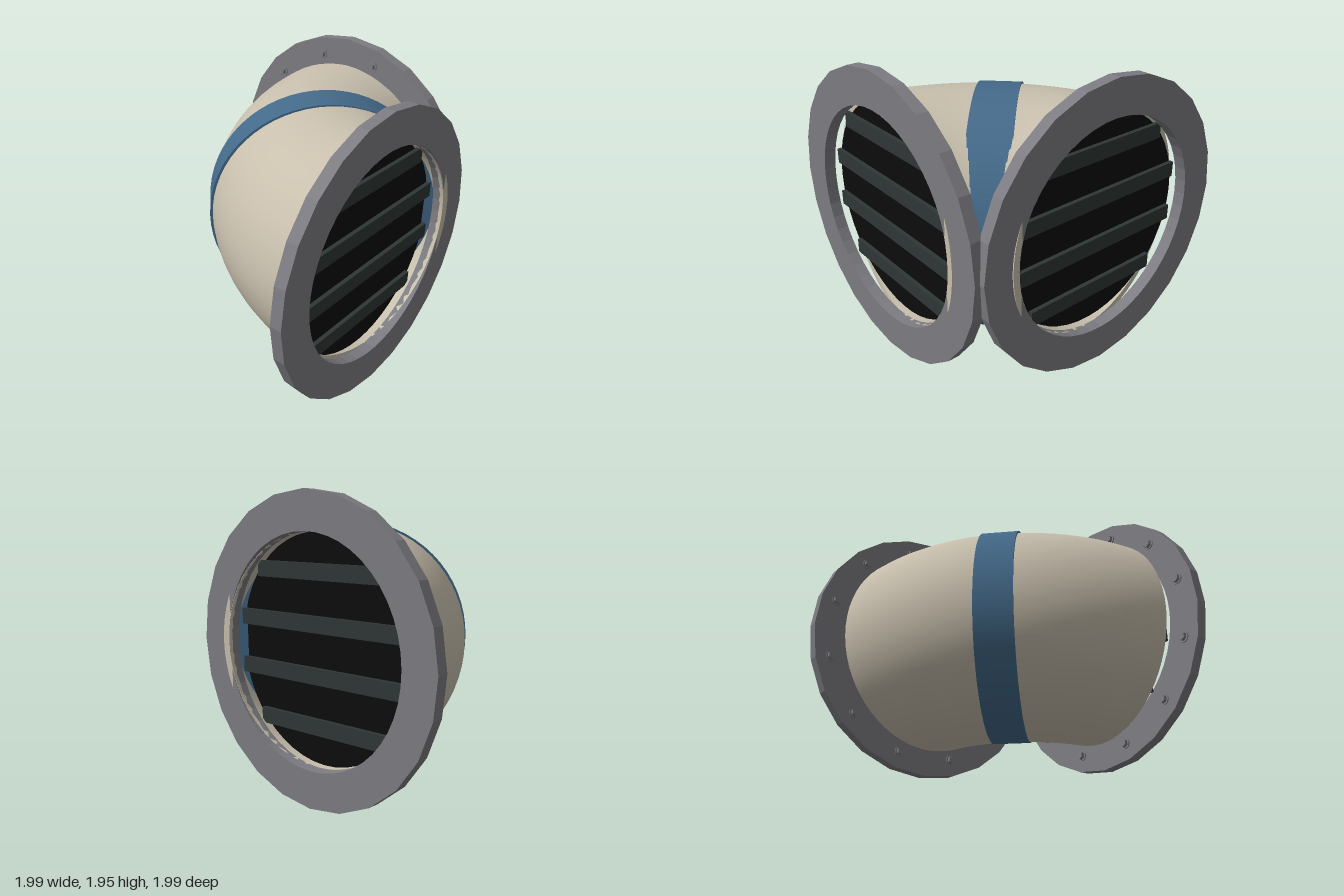
import * as THREE from 'three';

const mat = (name, color, side = THREE.FrontSide) => {
  const m = new THREE.MeshStandardMaterial({ color, side });
  m.name = name;
  return m;
};

export function createModel() {
  const cream = mat('cream', 0xc8bfad, THREE.DoubleSide);
  const blue = mat('blue', 0x446a8a);
  const steel = mat('steel grey', 0x7c7c82);
  const black = mat('black', 0x0c0c0c);
  const slate = mat('dark slate', 0x2e3735);

  const model = new THREE.Group();
  const add = (parent, name, geometry, material, x = 0, y = 0, z = 0) => {
    const mesh = new THREE.Mesh(geometry, material);
    mesh.name = name;
    mesh.position.set(x, y, z);
    parent.add(mesh);
    return mesh;
  };

  const midY = 0.98, off = -0.025;
  const pipeR = 0.78, boreR = 0.73;

  // Elbow pipe: an arc a little short of a quarter turn, with outer and inner walls
  const bendC = 1.023, bendR = 1.055;
  const tilt = THREE.MathUtils.degToRad(6.45);
  const wall = r => new THREE.TorusGeometry(bendR, r, 64, 32, Math.PI / 2 - 2 * tilt)
    .rotateZ(Math.PI + tilt).rotateX(Math.PI / 2);
  add(model, 'elbowOuterWall', wall(pipeR), cream, bendC, midY, bendC);
  add(model, 'elbowInnerWall', wall(boreR), cream, bendC, midY, bendC);

  // Pipe end rims, tilted with the arc
  const rim = a => new THREE.RingGeometry(boreR, pipeR, 64).rotateY(a);
  add(model, 'frontRim', rim(-tilt), cream, off, midY, 0.905);
  add(model, 'sideRim', rim(Math.PI / 2 + tilt), cream, 0.905, midY, off);

  // Straight band around the middle of the bend
  const band = new THREE.CylinderGeometry(0.79, 0.79, 0.27, 64)
    .rotateZ(Math.PI / 2).rotateY(Math.PI / 4);
  add(model, 'middleBand', band, blue, 0.275, midY, 0.275);

  // Flange plate: 24-sided outside, round bore
  const ringPoints = (r, n) => Array.from({ length: n }, (_, i) => {
    const a = (i / n) * Math.PI * 2;
    return new THREE.Vector2(r * Math.cos(a), r * Math.sin(a));
  });
  const plate = new THREE.Shape(ringPoints(0.975, 24));
  plate.holes.push(new THREE.Path(ringPoints(boreR, 48)));
  const plateGeo = new THREE.ExtrudeGeometry(plate, { depth: 0.08, bevelEnabled: false });

  const washerGeo = new THREE.CylinderGeometry(0.04, 0.04, 0.008, 16).rotateX(Math.PI / 2);
  const headGeo = new THREE.CylinderGeometry(0.031, 0.031, 0.026, 6).rotateX(Math.PI / 2).toNonIndexed();
  headGeo.computeVertexNormals();
  const backingGeo = new THREE.CircleGeometry(0.728, 48);

  // One open end: flange, bolts behind it, dark backing and four grille bars
  const makeEnd = name => {
    const end = new THREE.Group();
    end.name = name;
    add(end, 'flange', plateGeo, steel, 0, 0, 0.905);
    for (let i = 0; i < 12; i++) {
      const a = (i + 0.5) * Math.PI / 6;
      const x = 0.855 * Math.cos(a), y = 0.855 * Math.sin(a);
      add(end, 'boltWasher', washerGeo, steel, x, y, 0.901);
      add(end, 'boltHead', headGeo, steel, x, y, 0.886);
    }
    add(end, 'grilleBacking', backingGeo, black, 0, 0, 0.857);
    [-0.485, -0.162, 0.162, 0.485].forEach(y => {
      const length = Math.abs(y) > 0.3 ? 1.07 : 1.41;
      add(end, 'grilleBar', new THREE.BoxGeometry(length, 0.104, 0.03), slate, 0, y, 0.871);
    });
    model.add(end);
    return end;
  };
  makeEnd('frontEnd').position.set(off, midY, 0);
  const side = makeEnd('sideEnd');
  side.position.set(0, midY, off);
  side.rotation.y = Math.PI / 2;

  return model;
}
